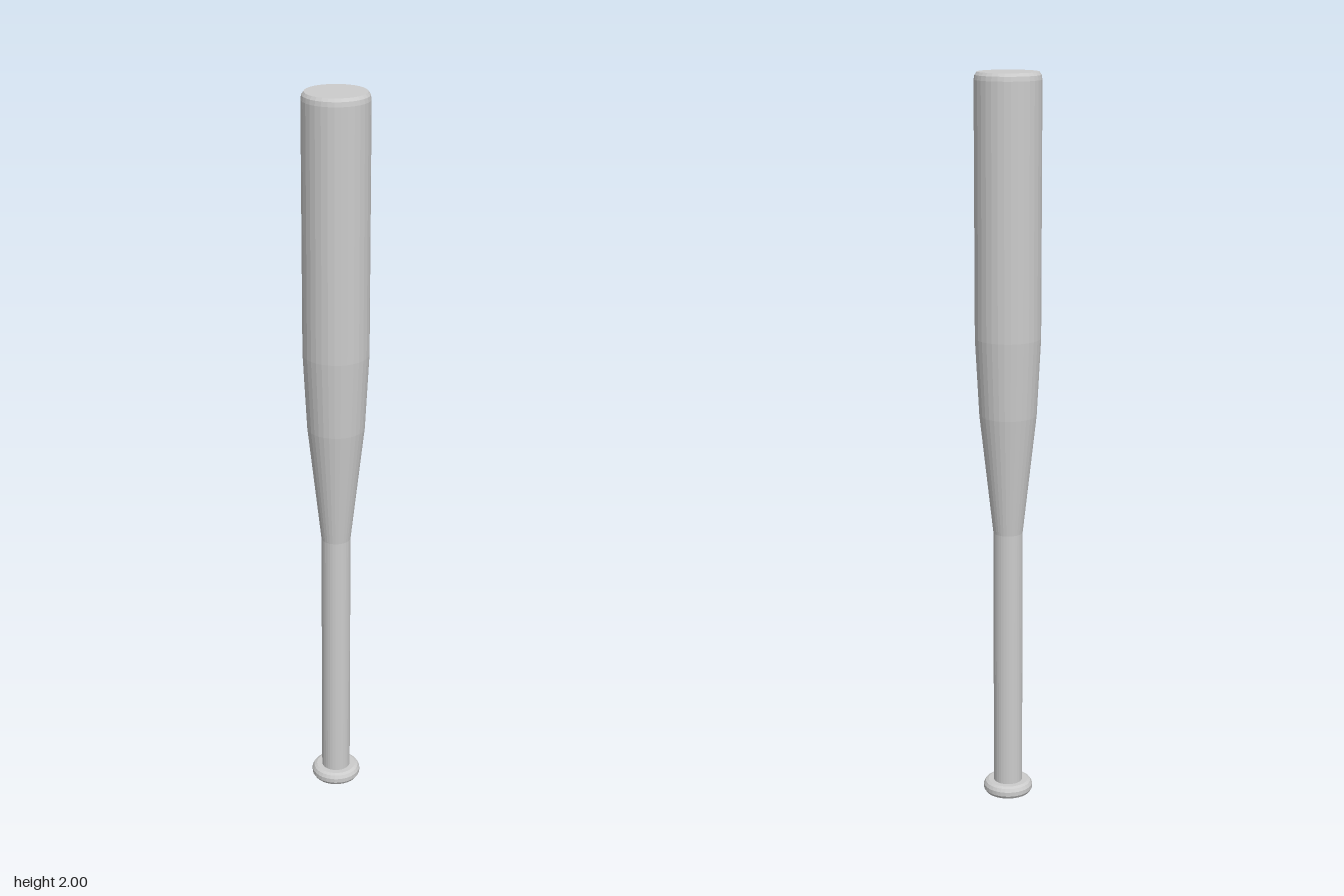
import * as THREE from 'three';

const SIDES = 32;
const material = new THREE.MeshStandardMaterial({ color: 0xcccccc, flatShading: true });

// Turned part from [radius, height] pairs, listed bottom to top
function turned(name, profile) {
  const points = profile.map(([r, y]) => new THREE.Vector2(r, y));
  const mesh = new THREE.Mesh(new THREE.LatheGeometry(points, SIDES), material);
  mesh.name = name;
  return mesh;
}

export function createModel() {
  const bat = new THREE.Group();
  bat.name = 'bat';

  // Rounded knob with flat faces
  bat.add(turned('knob', [
    [0, 0], [0.055, 0], [0.063, 0.004], [0.068, 0.012], [0.068, 0.024],
    [0.063, 0.033], [0.055, 0.037], [0.04, 0.037],
  ]));

  // Straight grip
  bat.add(turned('handle', [[0.04, 0.037], [0.04, 0.77]]));

  // Two-step flare from grip to barrel
  bat.add(turned('taper', [[0.04, 0.77], [0.077, 1.1], [0.088, 1.31]]));

  // Barrel with a bevelled flat end
  bat.add(turned('barrel', [[0.088, 1.31], [0.088, 1.98], [0.086, 1.992], [0.08, 2], [0, 2]]));

  return bat;
}
